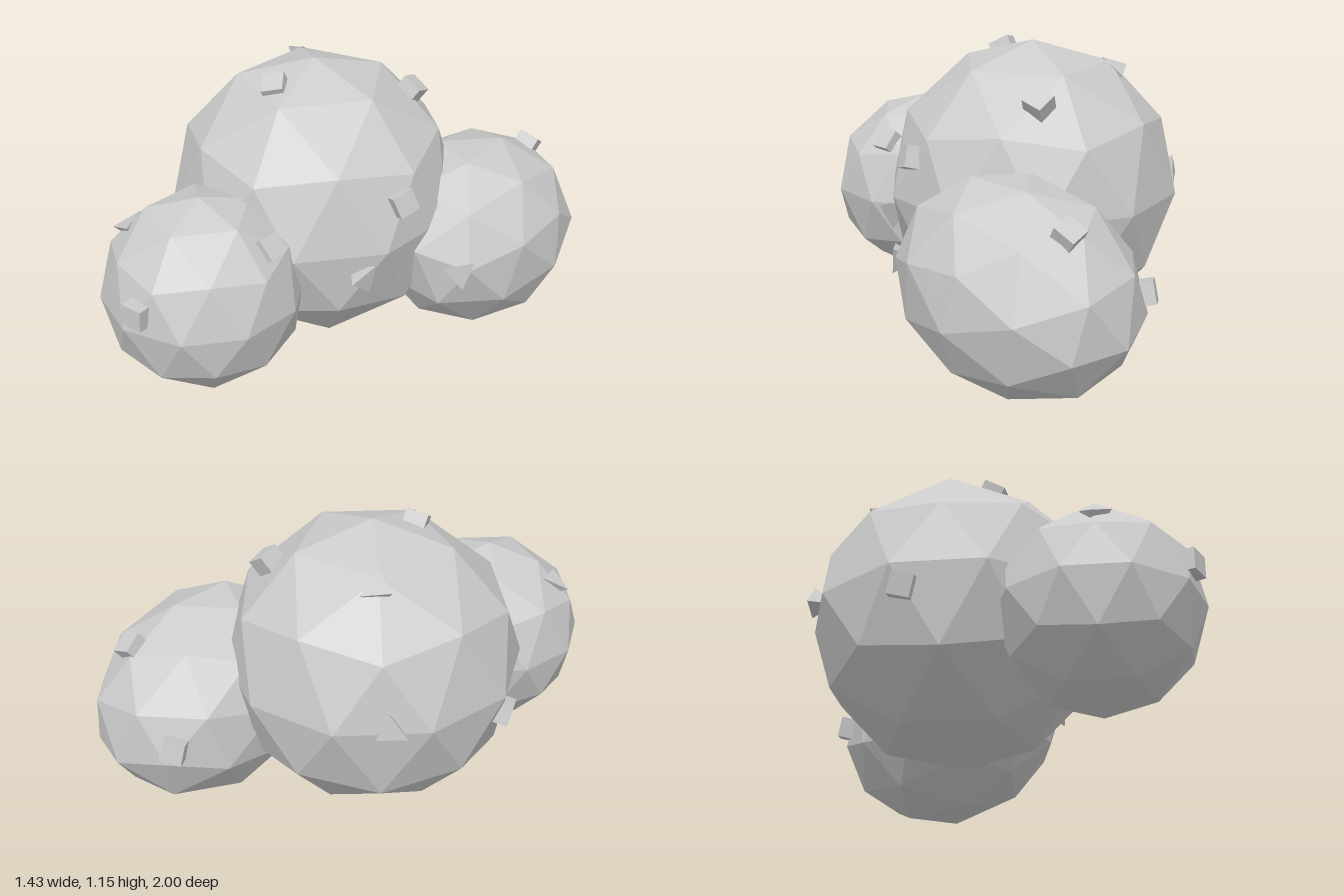
import * as THREE from 'three';

const material = new THREE.MeshStandardMaterial({ color: 0xcccccc, flatShading: true });
const deg = THREE.MathUtils.degToRad;

// Faceted ball with one corner straight up and an upper-ring corner towards +x
function ballGeometry() {
  return new THREE.IcosahedronGeometry(1, 1).rotateZ(-Math.atan(2 / (1 + Math.sqrt(5))));
}

function addBall(group, name, center, scale, rotation = [0, 0, 0]) {
  const ball = new THREE.Mesh(ballGeometry(), material);
  ball.name = name;
  ball.position.set(...center);
  ball.scale.set(...scale);
  ball.rotation.set(...rotation.map(deg), 'YXZ');
  group.add(ball);
}

// Small chips half sunk in a ball, turned to face away from its center
function addChips(group, name, center, chips) {
  const up = new THREE.Vector3(0, 1, 0);
  const middle = new THREE.Vector3(...center);
  chips.forEach(([kind, x, y, z, spin]) => {
    const geometry = kind === 'cube'
      ? new THREE.BoxGeometry(0.085, 0.07, 0.085)
      : new THREE.TetrahedronGeometry(0.072).rotateX(0.5).rotateZ(0.3);
    const chip = new THREE.Mesh(geometry, material);
    chip.name = name;
    chip.position.set(x, y, z);
    const outward = chip.position.clone().sub(middle).normalize();
    chip.quaternion.setFromUnitVectors(up, outward);
    chip.rotateY(spin);
    chip.rotateX(0.2);
    group.add(chip);
  });
}

export function createModel() {
  const model = new THREE.Group();
  model.name = 'boulderCluster';

  const large = [-0.163, 0.59, -0.06];
  const front = [-0.117, 0.452, 0.595];
  const back = [0.291, 0.403, -0.527];

  // Three overlapping boulders; the back one is stretched and tilted
  addBall(model, 'largeBoulder', large, [0.575, 0.575, 0.575]);
  addBall(model, 'frontBoulder', front, [0.387, 0.387, 0.387]);
  addBall(model, 'backBoulder', back, [0.395, 0.395, 0.492], [-13, 10, -68]);

  // Chips: kind, x, y, z, spin
  addChips(model, 'largeBoulderChip', large, [
    ['cube', -0.18, 1.1, 0.135, 0.6],
    ['spike', -0.42, 1.04, -0.25, 0.4],
    ['cube', 0.07, 1.0, -0.37, 0.2],
    ['cube', 0.365, 0.765, 0.02, 0.1],
    ['spike', 0.33, 0.5, 0.2, 1.0],
    ['cube', -0.67, 0.5, 0.15, 0.1],
    ['spike', -0.63, 0.62, -0.36, 0.7],
  ]);
  addChips(model, 'frontBoulderChip', front, [
    ['spike', -0.335, 0.69, 0.75, 0.5],
    ['cube', -0.06, 0.535, 0.955, 0.1],
    ['cube', 0.14, 0.685, 0.5, 0.2],
  ]);
  addChips(model, 'backBoulderChip', back, [
    ['spike', 0.53, 0.455, -0.135, 0.3],
    ['spike', 0.67, 0.51, -0.56, 0.8],
    ['cube', 0.33, 0.68, -0.825, 0.3],
    ['cube', 0.0, 0.41, -0.87, 0.5],
  ]);

  return model;
}
